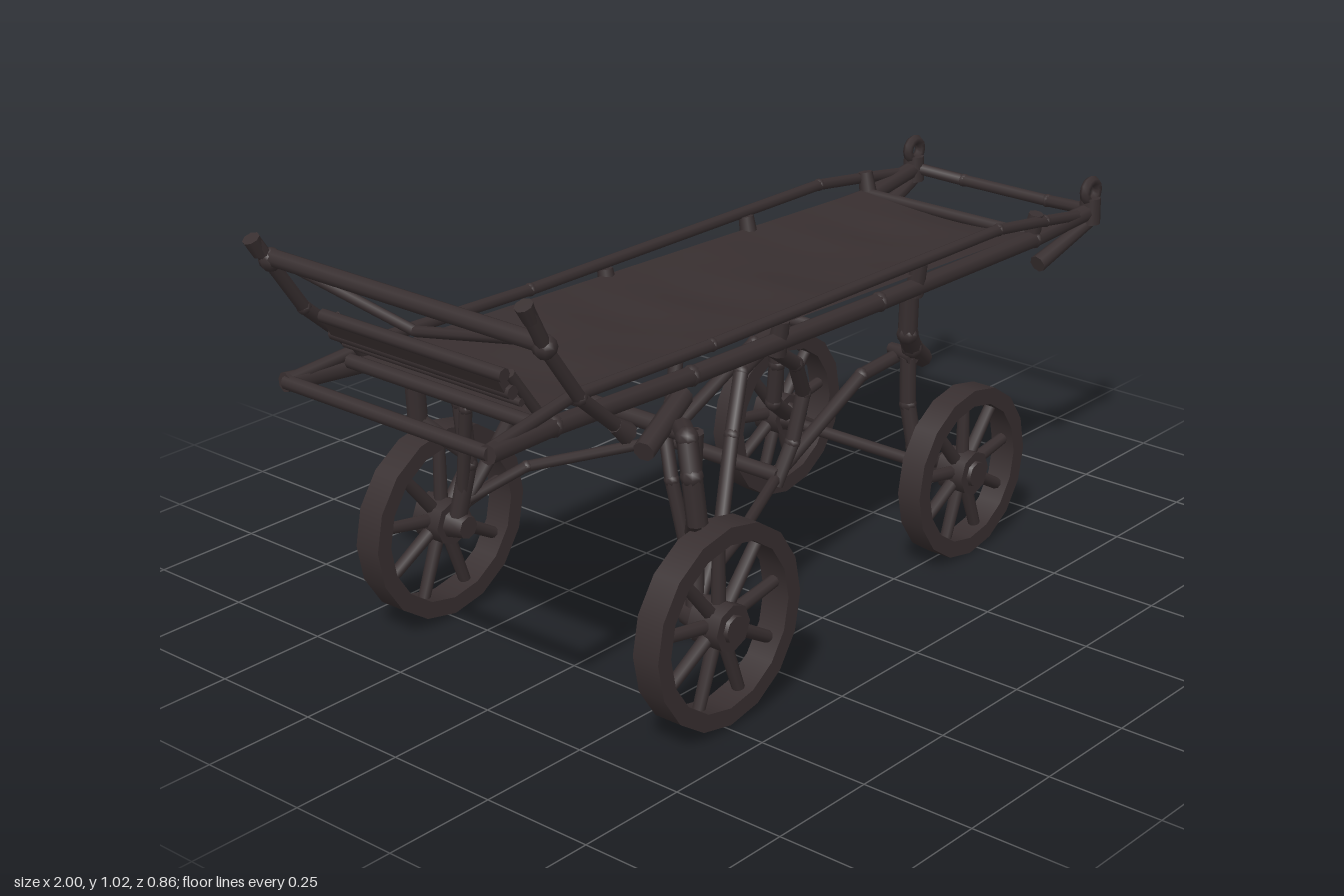
import * as THREE from 'three';

const iron = new THREE.MeshStandardMaterial({ color: 0x382f30 });
iron.name = 'dark iron';
const cloth = new THREE.MeshStandardMaterial({ color: 0x382f30, side: THREE.DoubleSide });
cloth.name = 'dark canvas';

const V = (p) => new THREE.Vector3(...p);

function add(parent, name, geometry, material = iron) {
  const mesh = new THREE.Mesh(geometry, material);
  mesh.name = name;
  parent.add(mesh);
  return mesh;
}

// Tapered straight bar between two points
function bar(parent, name, a, b, r0, r1 = r0) {
  const A = V(a), B = V(b), d = B.clone().sub(A);
  const mesh = add(parent, name, new THREE.CylinderGeometry(r1, r0, d.length(), 8));
  mesh.position.copy(A).addScaledVector(d, 0.5);
  mesh.quaternion.setFromUnitVectors(new THREE.Vector3(0, 1, 0), d.normalize());
  return mesh;
}

function knob(parent, name, p, r) {
  add(parent, name, new THREE.SphereGeometry(r, 8, 6)).position.set(...p);
}

// Chain of bars with rounded joints
function rod(parent, name, points, r) {
  const g = new THREE.Group();
  g.name = name;
  parent.add(g);
  points.forEach((p, i) => {
    if (i) bar(g, name + 'Section', points[i - 1], p, r);
    if (i && i < points.length - 1) knob(g, name + 'Joint', p, r * 1.1);
  });
}

// Spoked wheel turning about z
function wheel(parent, name, x, y, z, R, width) {
  const g = new THREE.Group();
  g.name = name;
  g.position.set(x, y, z);
  parent.add(g);
  const h = width / 2, inner = R - 0.037;
  const profile = [[inner, -h], [inner, h], [R, h], [R, -h], [inner, -h]]
    .map(([a, b]) => new THREE.Vector2(a, b));
  // separate segments keep the square rim edges crisp
  for (let i = 0; i < 4; i++) {
    const pair = [profile[i + 1], profile[i]];
    add(g, 'rim', new THREE.LatheGeometry(pair, 16)).rotation.x = Math.PI / 2;
  }
  for (let i = 0; i < 9; i++) {
    const a = Math.PI / 2 + i * Math.PI * 2 / 9, c = Math.cos(a), s = Math.sin(a);
    bar(g, 'spoke', [c * 0.03, s * 0.03, 0], [c * (R - 0.03), s * (R - 0.03), 0], 0.015, 0.013);
  }
  bar(g, 'hub', [0, 0, -h - 0.006], [0, 0, h + 0.006], 0.05, 0.05);
  const out = Math.sign(z);
  bar(g, 'hubCap', [0, 0, 0], [0, 0, out * (h + 0.014)], 0.04, 0.028);
}

// Sagging, wrinkled canvas bed
function canvas() {
  const g = new THREE.PlaneGeometry(1.62, 0.47, 54, 12);
  g.rotateX(-Math.PI / 2);
  const p = g.attributes.position;
  for (let i = 0; i < p.count; i++) {
    const x = p.getX(i) - 0.05, z = p.getZ(i), across = 1 - (z / 0.235) ** 2;
    const slope = 0.694 - 0.034 * x;
    const folds = 0.006 * Math.sin(x * 17 + z * 6) * Math.sin(x * 5 + 1) + 0.002 * Math.sin(x * 31 - z * 9);
    p.setXYZ(i, x, slope - across * (0.016 - folds), z);
  }
  g.computeVertexNormals();
  return g;
}

export function createModel() {
  const model = new THREE.Group();
  model.name = 'stretcherCart';

  add(model, 'canvasBed', canvas(), cloth);

  for (const s of [1, -1]) {
    const side = new THREE.Group();
    side.name = s > 0 ? 'frontSide' : 'backSide';
    model.add(side);

    // Bed rails
    rod(side, 'lowerRail', [[-0.99, 0.705, s * 0.27], [-0.8, 0.695, s * 0.25], [-0.4, 0.67, s * 0.235],
      [0.2, 0.655, s * 0.232], [0.76, 0.65, s * 0.235], [0.97, 0.67, s * 0.25]], 0.02);
    rod(side, 'upperRail', [[-0.98, 0.71, s * 0.265], [-0.75, 0.735, s * 0.245], [-0.35, 0.722, s * 0.245],
      [0.6, 0.715, s * 0.25], [0.78, 0.69, s * 0.25], [0.97, 0.66, s * 0.25]], 0.013);
    for (const x of [-0.13, 0.33, 0.76])
      bar(side, 'railBracket', [x, 0.635, s * 0.225], [x, 0.71, s * 0.24], 0.022, 0.017);

    // Lifting rings and grips at the open end
    bar(side, 'ringPost', [0.96, 0.64, s * 0.25], [0.962, 0.7, s * 0.25], 0.026, 0.024);
    add(side, 'liftingRing', new THREE.TorusGeometry(0.024, 0.012, 6, 12)).position.set(0.962, 0.715, s * 0.25);
    bar(side, 'grip', [0.97, 0.645, s * 0.25], [0.78, 0.585, s * 0.235], 0.014, 0.02);

    // Push handle arm
    const top = s > 0 ? 1.01 : 0.965;
    rod(side, 'handleArm', [[s > 0 ? -0.985 : -0.965, top, s * 0.368], [-0.93, 0.91, s * 0.363],
      [-0.85, 0.795, s * 0.365], [-0.73, 0.69, s * 0.365]], 0.014);
    knob(side, 'handleJoint', [-0.93, 0.915, s * 0.36], 0.024);
    bar(side, 'handleTip', [s > 0 ? -0.97 : -0.95, top - 0.035, s * 0.367], [s > 0 ? -0.988 : -0.968, top, s * 0.368], 0.014, 0.018);
    bar(side, 'handleFoot', [-0.76, 0.715, s * 0.365], [-0.727, 0.688, s * 0.365], 0.015, 0.022);
    bar(side, 'handleBrace', [-0.93, 0.915, s * 0.3], [-0.9, 0.848, 0], 0.011);
    bar(side, 'handleStay', [-0.89, 0.82, s * 0.23], [-0.82, 0.72, s * 0.235], 0.011);

    // Large wheel and its fork
    wheel(side, 'largeWheel', -0.495, 0.222, s > 0 ? 0.385 : -0.38, 0.212, 0.064);
    rod(side, 'outerFork', [[-0.5, 0.61, s * 0.3], [-0.55, 0.62, s * 0.355], [-0.56, 0.55, s * 0.375], [-0.55, 0.45, s * 0.38]], 0.021);
    rod(side, 'innerFork', [[-0.5, 0.61, s * 0.33], [-0.49, 0.5, s * 0.315], [-0.48, 0.36, s * 0.31], [-0.5, 0.225, s * 0.33]], 0.019);
    bar(side, 'forkLink', [-0.55, 0.46, s * 0.375], [-0.49, 0.39, s * 0.315], 0.018, 0.016);
    rod(side, 'forkStay', [[-0.49, 0.62, s * 0.24], [-0.51, 0.5, s * 0.28], [-0.49, 0.28, s * 0.32]], 0.014);
    bar(side, 'stubAxle', [-0.495, 0.222, s * 0.3], [-0.495, 0.222, s * 0.37], 0.025, 0.04);
    bar(side, 'forkHead', [-0.6, 0.59, s * 0.29], [-0.43, 0.64, s * 0.24], 0.022);

    // Undercarriage linkage
    rod(side, 'diagonalStay', [[-0.49, 0.25, s * 0.33], [-0.4, 0.37, s * 0.31], [-0.32, 0.53, s * 0.27],
      [-0.25, 0.635, s * 0.235], [-0.15, 0.655, s * 0.215]], 0.015);
    rod(side, 'lowerStay', [[-0.49, 0.27, s * 0.325], [-0.33, 0.31, s * 0.29], [-0.05, 0.315, s * 0.16]], 0.012);
    rod(side, 'crankArm', [[-0.05, 0.3, s * 0.16], [-0.005, 0.385, s * 0.168], [0.022, 0.49, s * 0.175],
      [-0.03, 0.575, s * 0.195], [-0.15, 0.655, s * 0.215]], 0.016);
    rod(side, 'longLink', [[-0.05, 0.315, s * 0.155], [0.25, 0.455, s * 0.15], [0.4, 0.465, s * 0.15]], 0.015);

    // Small wheel leg
    rod(side, 'bentLeg', [[0.33, 0.65, s * 0.215], [0.335, 0.54, s * 0.208], [0.37, 0.495, s * 0.195], [0.43, 0.45, s * 0.18]], 0.022);
    bar(side, 'legPeg', [0.37, 0.475, s * 0.2], [0.38, 0.475, s * (s > 0 ? 0.13 : 0.07)], 0.02, 0.013);
    rod(side, 'lowerLeg', [[0.37, 0.47, s * 0.185], [0.373, 0.36, s * 0.185], [0.38, 0.26, s * 0.2], [0.465, 0.195, s * 0.22]], 0.018);
    bar(side, 'axleCollar', [0.465, 0.19, s * 0.2], [0.465, 0.195, s * 0.25], 0.024, 0.048);
    wheel(side, 'smallWheel', 0.465, 0.197, s > 0 ? 0.269 : -0.257, 0.194, 0.058);
  }

  // Crossbars
  const cross = (name, x, y, z, r) => bar(model, name, [x, y, -z], [x, y, z], r);
  cross('headBar', -0.985, 0.705, 0.27, 0.015);
  cross('handleBar', -0.93, 0.92, 0.365, 0.018);
  cross('largeAxleBeam', -0.5, 0.6, 0.33, 0.018);
  cross('linkageBar', -0.045, 0.322, 0.165, 0.017);
  cross('smallAxle', 0.465, 0.182, 0.23, 0.014);
  cross('bedHeadBar', -0.85, 0.715, 0.24, 0.015);
  cross('bedFootBar', 0.755, 0.66, 0.235, 0.014);
  rod(model, 'footBar', [[0.965, 0.67, 0.25], [0.983, 0.66, 0.12], [0.985, 0.66, -0.12], [0.965, 0.67, -0.25]], 0.014);

  // Folded headrest rolls
  const rest = add(model, 'headrest', new THREE.BoxGeometry(0.02, 0.04, 0.46));
  rest.position.set(-0.903, 0.806, 0);
  rest.rotation.z = 0.5;
  cross('headrestTopRoll', -0.912, 0.825, 0.24, 0.014);
  cross('headrestLowerRoll', -0.89, 0.785, 0.238, 0.014);
  cross('headrestStrap', -0.865, 0.757, 0.235, 0.008);

  return model;
}
